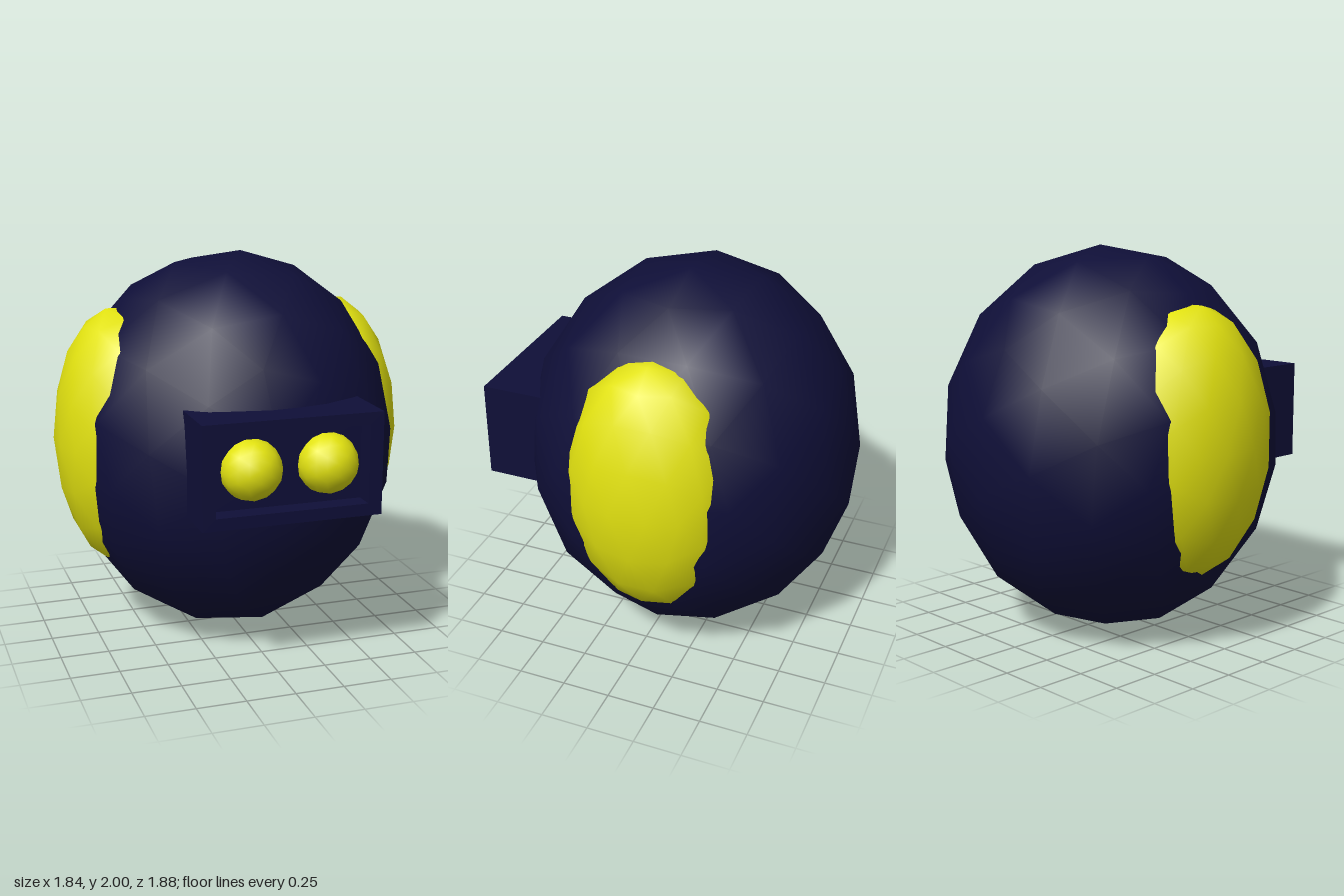
import * as THREE from 'three';

const navy = new THREE.MeshStandardMaterial({ color: 0x0f0f38 });
navy.name = 'navy';
const yellow = new THREE.MeshStandardMaterial({ color: 0xe2e210 });
yellow.name = 'yellow';

// Smooth low-poly ball stretched to fill the box between two corners
function ball(name, material, min, max, turn = 0) {
  const g = new THREE.IcosahedronGeometry(1, 2);
  g.rotateZ(turn);
  g.computeBoundingBox();
  const size = g.boundingBox.getSize(new THREE.Vector3());
  const mid = g.boundingBox.getCenter(new THREE.Vector3());
  g.translate(-mid.x, -mid.y, -mid.z);
  g.scale((max[0] - min[0]) / size.x, (max[1] - min[1]) / size.y, (max[2] - min[2]) / size.z);
  g.translate((min[0] + max[0]) / 2, (min[1] + max[1]) / 2, (min[2] + max[2]) / 2);
  const mesh = new THREE.Mesh(g, material);
  mesh.name = name;
  return mesh;
}

// Path of a rectangle, for the frame and its opening
function rectangle(path, x0, y0, x1, y1) {
  path.moveTo(x0, y0);
  path.lineTo(x1, y0);
  path.lineTo(x1, y1);
  path.lineTo(x0, y1);
  path.closePath();
  return path;
}

export function createModel() {
  const model = new THREE.Group();
  model.name = 'roundHead';

  // Egg-shaped body
  model.add(ball('body', navy, [-0.86, 0, -0.94], [0.86, 2, 0.77], 0.12));

  // Bulging side patches
  for (const side of [-1, 1]) {
    const cx = side * 0.575;
    model.add(ball(side > 0 ? 'leftPatch' : 'rightPatch', yellow,
      [cx - 0.345, 0.37, -0.545], [cx + 0.345, 1.73, 0.365]));
  }

  // Eye housing: a rectangular frame around a recessed panel
  const housing = new THREE.Group();
  housing.name = 'eyeHousing';
  const outline = rectangle(new THREE.Shape(), -0.435, 0.83, 0.465, 1.34);
  outline.holes.push(rectangle(new THREE.Path(), -0.37, 0.89, 0.395, 1.28));
  const frameGeometry = new THREE.ExtrudeGeometry(outline, { depth: 0.34, bevelEnabled: false });
  const frame = new THREE.Mesh(frameGeometry.translate(0, 0, 0.56), navy);
  frame.name = 'frame';
  const panel = new THREE.Mesh(new THREE.BoxGeometry(0.78, 0.41, 0.24), navy);
  panel.name = 'panel';
  panel.position.set(0.0125, 1.085, 0.68);
  housing.add(frame, panel);

  // Round eyes set in the panel
  for (const [name, x] of [['rightEye', -0.165], ['leftEye', 0.22]]) {
    housing.add(ball(name, yellow, [x - 0.15, 0.935, 0.65], [x + 0.15, 1.23, 0.945]));
  }
  model.add(housing);
  return model;
}
